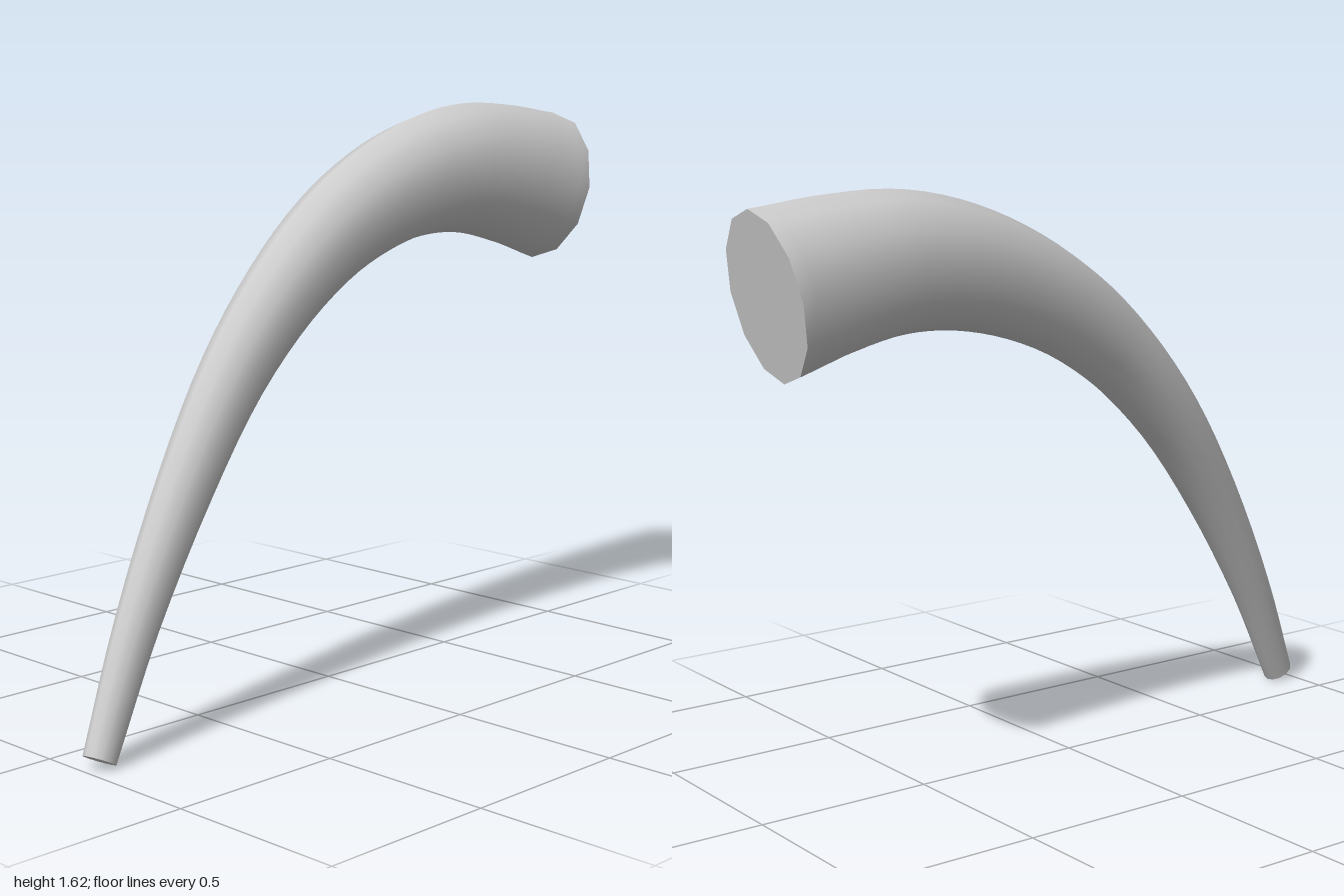
import * as THREE from 'three';

const SIDES = 12, STEPS = 40;

// Centre line stations from tip to base: x, y, z, half height
const STATIONS = [
  [-0.96, 0.028, 0.15, 0.048], [-0.8, 0.335, 0.11, 0.064], [-0.6, 0.66, 0.073, 0.084],
  [-0.4, 0.925, 0.04, 0.101], [-0.2, 1.125, 0.02, 0.118], [0, 1.27, 0.005, 0.136],
  [0.2, 1.365, -0.003, 0.155], [0.4, 1.42, -0.008, 0.174], [0.58, 1.434, -0.01, 0.191],
  [0.78, 1.408, -0.01, 0.209], [0.95, 1.37, -0.01, 0.225],
];

// Elliptical rings set square to the centre line, each starting at its top corner
function makeRings() {
  const path = new THREE.CatmullRomCurve3(STATIONS.map(([x, y, z]) => new THREE.Vector3(x, y, z)));
  const rings = [];
  for (let i = 0; i <= STEPS; i++) {
    const t = i / STEPS;
    const f = t * (STATIONS.length - 1);
    const k = Math.min(Math.floor(f), STATIONS.length - 2);
    const r = THREE.MathUtils.lerp(STATIONS[k][3], STATIONS[k + 1][3], f - k);
    const centre = path.getPoint(t);
    const tangent = i === STEPS ? new THREE.Vector3(0.98, -0.2, 0) : path.getTangent(t);
    const up = new THREE.Vector3(-tangent.y, tangent.x, 0).normalize();
    const side = new THREE.Vector3().crossVectors(tangent, up).normalize();
    const ring = [];
    for (let j = 0; j < SIDES; j++) {
      const a = (j / SIDES) * Math.PI * 2;
      ring.push(centre.clone()
        .addScaledVector(up, r * Math.cos(a))
        .addScaledVector(side, r * 0.81 * Math.sin(a)));
    }
    rings.push(ring);
  }
  return rings;
}

function geometryFrom(points, index) {
  const g = new THREE.BufferGeometry().setFromPoints(points);
  g.setIndex(index);
  g.computeVertexNormals();
  return g;
}

// Smooth skin joining neighbouring rings
function skin(rings) {
  const index = [];
  for (let i = 0; i < STEPS; i++) {
    for (let j = 0; j < SIDES; j++) {
      const n = (j + 1) % SIDES;
      const a = i * SIDES + j, b = i * SIDES + n;
      const c = a + SIDES, d = b + SIDES;
      index.push(a, b, c, b, d, c);
    }
  }
  return geometryFrom(rings.flat(), index);
}

// Flat polygon closing one end
function cap(ring, flip) {
  const index = [];
  for (let j = 1; j < SIDES - 1; j++) {
    if (flip) index.push(0, j + 1, j);
    else index.push(0, j, j + 1);
  }
  return geometryFrom(ring, index);
}

export function createModel() {
  const group = new THREE.Group();
  group.name = 'horn';
  const grey = new THREE.MeshStandardMaterial({ color: 0xcccccc });
  grey.name = 'light grey';
  const rings = makeRings();
  const add = (name, geometry) => {
    const mesh = new THREE.Mesh(geometry, grey);
    mesh.name = name;
    group.add(mesh);
  };
  add('hornBody', skin(rings));
  add('tipCap', cap(rings[0], true));
  add('baseCap', cap(rings[STEPS], false));
  return group;
}
